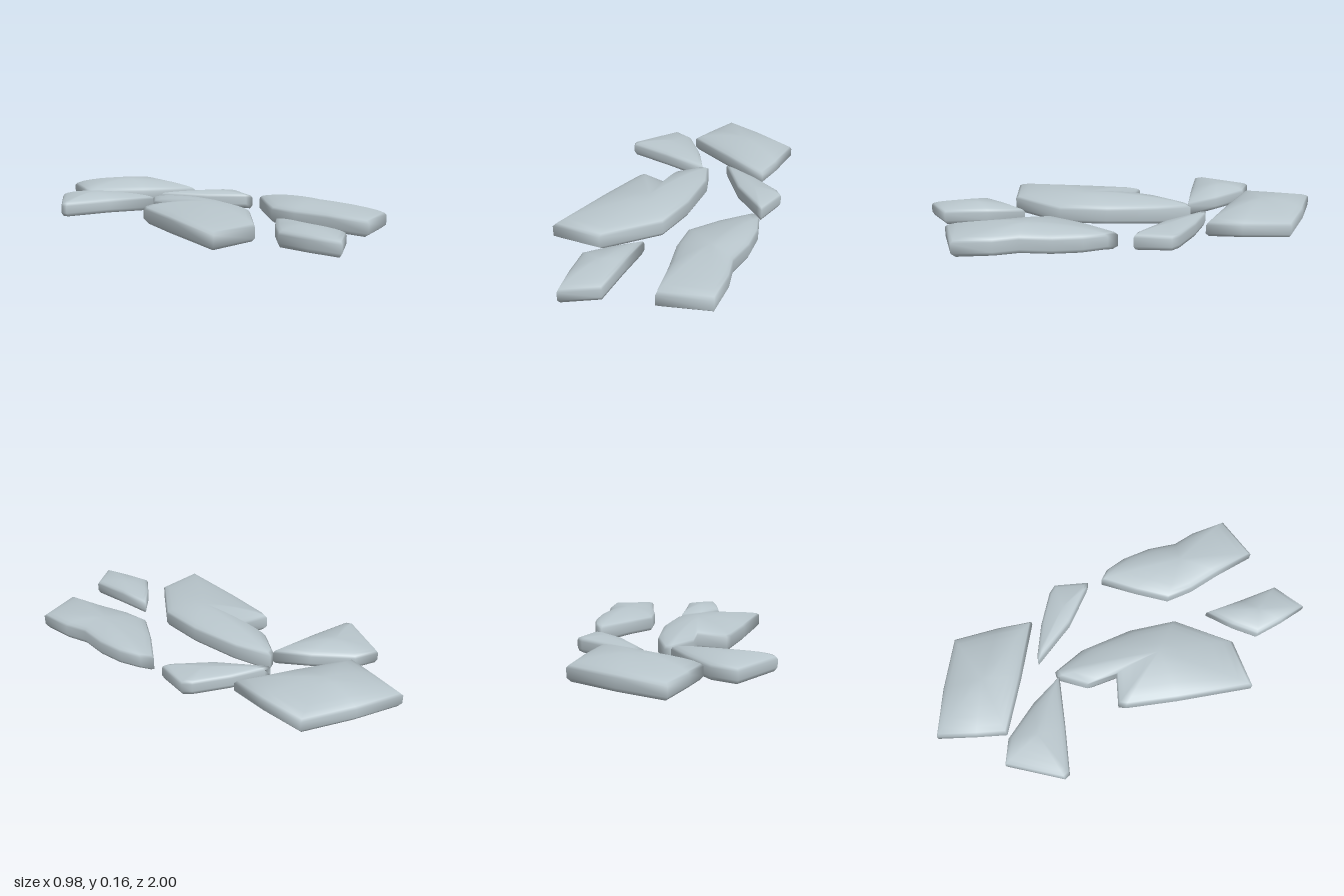
import * as THREE from 'three';
import { mergeVertices } from 'three/addons/utils/BufferGeometryUtils.js';

// Each stone: outline as [x, z, optional drop of the underside],
// hub of the dome, and heights of underside, rim and crown.
const STONES = [
  { name: 'backSlab', hub: [0.12, -0.69], base: 0.045, rim: 0.105, crown: 0.165,
    outline: [[-0.05, -1], [0.17, -0.89], [0.4, -0.75], [0.37, -0.52], [0.335, -0.35], [0.08, -0.51], [-0.17, -0.68], [-0.12, -0.82]] },
  { name: 'backLeftWedge', hub: [-0.25, -0.54], base: 0.045, rim: 0.1, crown: 0.145,
    outline: [[-0.315, -0.74], [-0.2, -0.68], [-0.08, -0.5], [0, -0.33, 0.01], [-0.25, -0.4], [-0.48, -0.47], [-0.49, -0.5]] },
  { name: 'largeMiddleSlab', hub: [-0.1, 0.18], base: 0.04, rim: 0.11, crown: 0.165,
    outline: [[0.03, -0.34, 0.035], [0, -0.335, 0.025], [-0.1, -0.22, 0.01], [-0.11, -0.06], [-0.26, -0.115], [-0.28, -0.08], [-0.35, 0.17],
      [-0.44, 0.545], [-0.19, 0.56], [0.035, 0.335], [0.08, 0.1], [0.08, -0.17, 0.01]] },
  { name: 'smallRightWedge', hub: [0.34, -0.17], base: 0.04, rim: 0.095, crown: 0.125,
    outline: [[0.115, -0.4], [0.15, -0.39], [0.3, -0.31], [0.455, -0.2], [0.485, -0.16], [0.43, 0.01, 0.01], [0.4, -0.01], [0.25, -0.17]] },
  { name: 'frontRightSlab', hub: [0.33, 0.5], base: 0.045, rim: 0.11, crown: 0.16,
    outline: [[0.41, 0.08, 0.015], [0.45, 0.13], [0.475, 0.24], [0.475, 0.38], [0.445, 0.53], [0.465, 0.65], [0.46, 0.83],
      [0.225, 0.88], [0.2, 0.67], [0.17, 0.5], [0.17, 0.36], [0.28, 0.22]] },
  { name: 'smallFrontSlab', hub: [-0.09, 0.76], base: 0.045, rim: 0.1, crown: 0.14,
    outline: [[0.015, 0.51], [0.005, 0.7], [0, 0.91], [-0.16, 0.995], [-0.185, 0.85], [-0.2, 0.7], [-0.1, 0.6]] },
];

function stoneGeometry({ outline, hub, base, rim, crown }) {
  // Outline must run counterclockwise as seen from above
  const area = outline.reduce((sum, [x, z], i) => {
    const [nx, nz] = outline[(i + 1) % outline.length];
    return sum + nx * z - x * nz;
  }, 0);
  const points = area > 0 ? outline : [...outline].reverse();

  // Rings from the middle of the underside to the crown: [scale, height]
  const rings = [[0, base - 0.012], [0.55, base - 0.01], [0.94, base], [1, base + 0.018], [1, rim], [0.96, rim + 0.012]];
  const shoulder = rim + 0.012;
  for (const s of [0.85, 0.7, 0.5, 0.25, 0]) {
    rings.push([s, shoulder + (crown - shoulder) * (1 - s * s)]);
  }

  const n = points.length, positions = [], index = [];
  rings.forEach(([s, y], r) => {
    for (const [x, z, drop = 0] of points) {
      positions.push(
        hub[0] + (x - hub[0]) * s,
        y - (r < 4 ? drop * s * s : drop * 0.4 * s * s),
        hub[1] + (z - hub[1]) * s);
    }
  });
  for (let r = 0; r < rings.length - 1; r++) {
    for (let i = 0; i < n; i++) {
      const j = (i + 1) % n;
      const a = r * n + i, b = r * n + j, c = b + n, d = a + n;
      if (r > 0) index.push(a, b, d);
      if (r < rings.length - 2) index.push(b, c, d);
    }
  }
  // Fan triangles at the lower middle need the outer edge
  const geometry = new THREE.BufferGeometry();
  geometry.setAttribute('position', new THREE.Float32BufferAttribute(positions, 3));
  geometry.setIndex(index);
  const merged = mergeVertices(geometry, 1e-5);
  merged.computeVertexNormals();
  return merged;
}

export function createModel() {
  const group = new THREE.Group();
  group.name = 'steppingStones';
  const stone = new THREE.MeshStandardMaterial({ color: 0xb9c6cc });
  stone.name = 'paleStone';
  for (const spec of STONES) {
    const mesh = new THREE.Mesh(stoneGeometry(spec), stone);
    mesh.name = spec.name;
    group.add(mesh);
  }
  return group;
}
